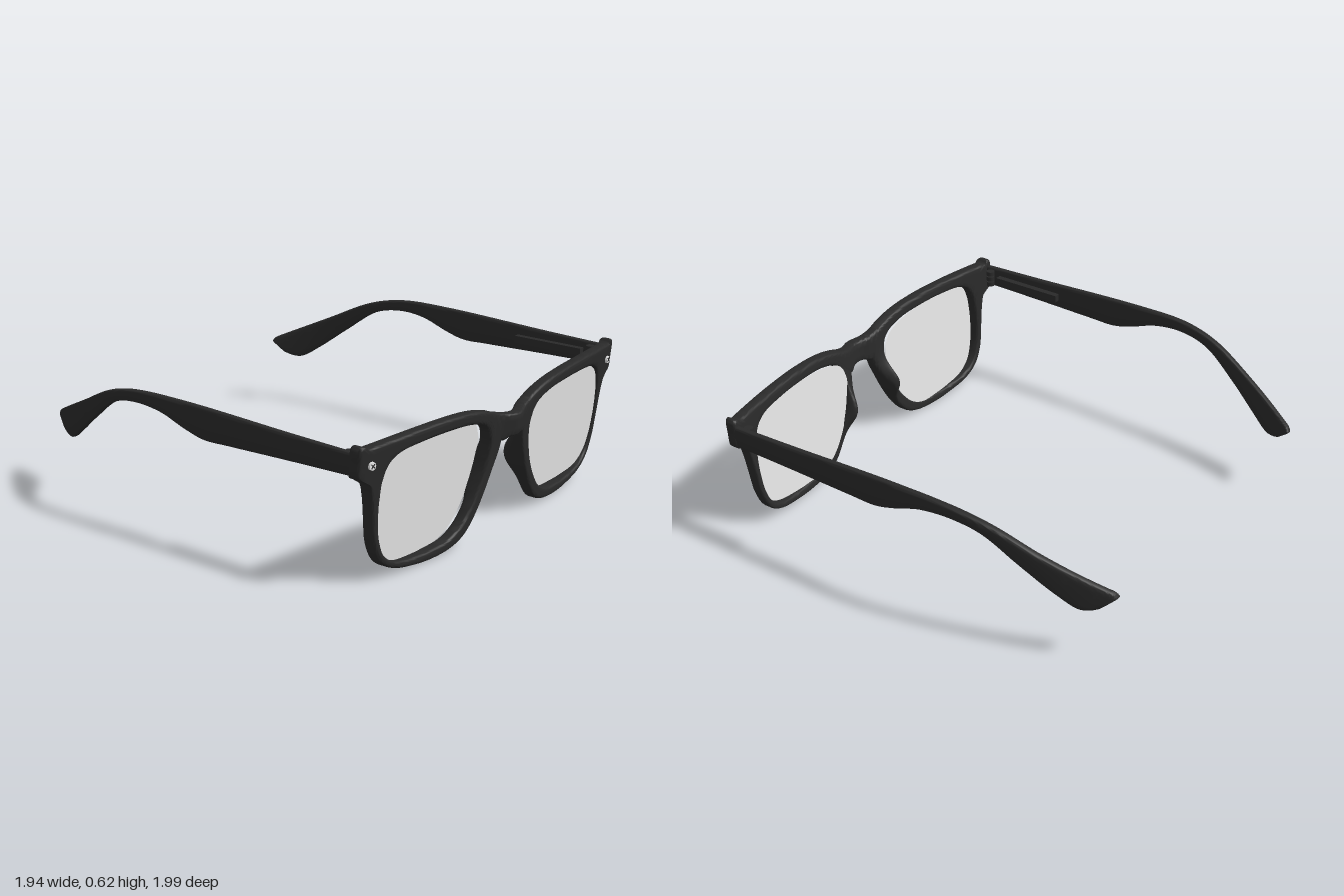
import * as THREE from 'three';
import { toCreasedNormals } from 'three/addons/utils/BufferGeometryUtils.js';
import { ParametricGeometry } from 'three/addons/geometries/ParametricGeometry.js';

const frameMat = new THREE.MeshStandardMaterial({ name: 'black acetate', color: 0x2a2a2a });
const lensMat = new THREE.MeshStandardMaterial({ name: 'clear grey lens', color: 0xeaeaea, side: THREE.DoubleSide });
const rivetMat = new THREE.MeshStandardMaterial({ name: 'silver rivet', color: 0xeeeeee });

const THICK = 0.058;

// Rim stations, clockwise from the nose: outer x, y and inner x, y
const RIM = [
  [0.09, 0.52, 0.168, 0.475], [0.13, 0.557, 0.18, 0.497], [0.2, 0.583, 0.21, 0.522], [0.3, 0.603, 0.3, 0.549],
  [0.45, 0.614, 0.45, 0.56], [0.62, 0.615, 0.62, 0.558], [0.76, 0.612, 0.74, 0.545], [0.88, 0.607, 0.79, 0.52],
  [0.93, 0.607, 0.805, 0.503], [0.945, 0.621, 0.812, 0.492], [0.963, 0.617, 0.818, 0.48], [0.967, 0.55, 0.824, 0.46],
  [0.963, 0.49, 0.83, 0.44], [0.94, 0.477, 0.834, 0.41], [0.905, 0.455, 0.836, 0.385], [0.885, 0.39, 0.838, 0.35],
  [0.87, 0.3, 0.834, 0.27], [0.85, 0.18, 0.818, 0.185], [0.8, 0.085, 0.785, 0.115], [0.72, 0.037, 0.72, 0.068],
  [0.6, 0.012, 0.6, 0.049], [0.48, 0.004, 0.5, 0.047], [0.36, 0.015, 0.38, 0.06], [0.28, 0.047, 0.305, 0.1],
  [0.22, 0.11, 0.25, 0.16], [0.16, 0.21, 0.2, 0.245], [0.12, 0.3, 0.175, 0.31], [0.09, 0.38, 0.158, 0.38],
  [0.08, 0.44, 0.155, 0.43],
];
// Bridge stations from the middle outwards: x, top y, bottom y
const BRIDGE = [
  [0, 0.535, 0.432], [0.04, 0.537, 0.431], [0.07, 0.542, 0.42], [0.1, 0.55, 0.43],
  [0.13, 0.559, 0.46], [0.16, 0.57, 0.5], [0.2, 0.583, 0.535],
];
// Temple stations: top z, y and bottom z, y
const ARM = [
  [0.84, 0.59, 0.84, 0.495], [0.5, 0.6, 0.5, 0.487], [0.2, 0.612, 0.2, 0.478], [0.05, 0.617, 0.07, 0.476],
  [-0.1, 0.619, -0.03, 0.5], [-0.25, 0.617, -0.17, 0.548], [-0.38, 0.603, -0.32, 0.56], [-0.52, 0.565, -0.46, 0.53],
  [-0.7, 0.48, -0.62, 0.42], [-0.85, 0.41, -0.77, 0.307], [-0.95, 0.363, -0.855, 0.253], [-0.985, 0.345, -0.9, 0.254],
  [-1.0, 0.325, -0.94, 0.27],
];

const curve = (pts, closed) => new THREE.CatmullRomCurve3(pts.map(([x, y]) => new THREE.Vector3(x, y, 0)), closed);

// Front surface of the face: wrapped sideways, tilted, and pushed out at the bridge
function frontZ(x, y) {
  return 0.968 - 0.08 * (x / 0.95) ** 2 - 0.085 * (0.6 - y) + 0.032 * Math.exp(-((x / 0.07) ** 2));
}

// Skin over rows of section points, each row a closed loop
function skin(rows, { closed = false, capped = false, flip = false }) {
  const n = rows.length, sides = rows[0].length, pos = rows.flat(2), idx = [];
  const tri = (a, b, c) => (flip ? idx.push(a, c, b) : idx.push(a, b, c));
  for (let i = 0; i < (closed ? n : n - 1); i++) {
    const r = i * sides, q = ((i + 1) % n) * sides;
    for (let j = 0; j < sides; j++) {
      const k = (j + 1) % sides;
      tri(r + j, r + k, q + j);
      tri(r + k, q + k, q + j);
    }
  }
  for (const i of capped ? [0, n - 1] : []) {
    const c = pos.length / 3;
    for (let d = 0; d < 3; d++) pos.push(rows[i].reduce((sum, p) => sum + p[d], 0) / sides);
    for (let j = 0; j < sides; j++) {
      const a = i * sides + j, b = i * sides + ((j + 1) % sides);
      if (i) tri(c, a, b); else tri(c, b, a);
    }
  }
  const geo = new THREE.BufferGeometry();
  geo.setAttribute('position', new THREE.Float32BufferAttribute(pos, 3));
  geo.setIndex(idx);
  return new THREE.Mesh(toCreasedNormals(geo, 0.8), frameMat);
}

// Rounded bar section from outer point o to inner point i, following the face surface
function section(o, i, s) {
  const w = o.distanceTo(i), r = Math.min(0.014, w * 0.4), flat = [], steps = 4;
  const arc = (d, q, start) => {
    for (let k = 0; k <= steps; k++) {
      const a = start + (k / steps) * Math.PI / 2;
      flat.push([d - r * Math.cos(a), q - r * Math.sin(a)]);
    }
  };
  const span = (d0, d1, q) => { for (const t of [0.25, 0.5, 0.75]) flat.push([d0 + (d1 - d0) * t, q]); };
  arc(r, r, 0);
  span(r, w - r, 0);
  arc(w - r, r, Math.PI / 2);
  arc(w - r, THICK - r, Math.PI);
  span(w - r, r, THICK);
  arc(r, THICK - r, Math.PI * 1.5);
  return flat.map(([d, depth]) => {
    const p = o.clone().lerp(i, d / w);
    // Nose pads: the back of the rim swells rearward beside the nose
    const pad = 0.065 * Math.exp(-(((p.x - 0.165) / 0.05) ** 2) - ((p.y - 0.29) / 0.1) ** 2);
    return [s * p.x, p.y, frontZ(p.x, p.y) - depth - pad * (depth / THICK) ** 2];
  });
}

function makeRim(s) {
  const outer = curve(RIM.map((p) => [p[0], p[1]]), true), inner = curve(RIM.map((p) => [p[2], p[3]]), true);
  const n = RIM.length * 6, rows = [];
  for (let i = 0; i < n; i++) rows.push(section(outer.getPoint(i / n), inner.getPoint(i / n), s));
  return skin(rows, { closed: true, flip: s < 0 });
}

function makeBridge() {
  const all = [...BRIDGE.slice(1).reverse().map(([x, t, b]) => [-x, t, b]), ...BRIDGE];
  const top = curve(all.map((p) => [p[0], p[1]])), bottom = curve(all.map((p) => [p[0], p[2]]));
  const rows = [];
  for (let i = 0; i <= 60; i++) rows.push(section(top.getPoint(i / 60), bottom.getPoint(i / 60), 1));
  return skin(rows, { capped: true });
}

// Flat lens, tilted with the frame and tucked into the rim
function makeLens(s) {
  const edge = curve(RIM.map((p) => [p[2], p[3]]), true);
  const cx = 0.5, cy = 0.31;
  const geo = new ParametricGeometry((u, v, t) => {
    const q = edge.getPoint(u % 1);
    const x = cx + (q.x - cx) * v * 1.02, y = cy + (q.y - cy) * v * 1.02;
    t.set(s * x, y, frontZ(cx, y) - 0.05);
  }, 116, 2);
  geo.computeVertexNormals();
  return new THREE.Mesh(geo, lensMat);
}

function makeArm(s) {
  const rail = (k) => curve(ARM.map((a) => [a[k], a[k + 1]]));
  const top = rail(0), bottom = rail(2), n = 72, sides = 24, rows = [];
  const round = (v) => Math.sign(v) * Math.abs(v) ** 0.4;
  for (let i = 0; i <= n; i++) {
    const a = top.getPoint(i / n), b = bottom.getPoint(i / n);
    const mid = a.clone().lerp(b, 0.5), half = a.clone().sub(mid);
    const width = i === n ? 0.012 : 0.016 + 0.004 * (i / n);
    rows.push(Array.from({ length: sides }, (_, j) => {
      const ang = (-j / sides) * Math.PI * 2, h = round(Math.sin(ang));
      const z = mid.x + half.x * h;
      const bend = 0.195 * (Math.max(0, -z - 0.2) / 0.8) ** 2; // ends curl inward behind the ear
      return [s * (0.95 + width * round(Math.cos(ang)) - bend), mid.y + half.y * h, z];
    }));
  }
  // Sections run clockwise seen from the front, so the skin faces outward going back
  return skin(rows.map((row) => [...row].reverse()), { capped: true, flip: s > 0 });
}

function box(w, h, d, x, y, z) {
  const m = new THREE.Mesh(new THREE.BoxGeometry(w, h, d), frameMat);
  m.position.set(x, y, z);
  return m;
}

// Hinge plate along the inside of the temple, and its knuckle
function makeHinge(s) {
  const g = new THREE.Group();
  g.add(box(0.03, 0.035, 0.36, s * 0.919, 0.543, 0.57));
  for (const y of [0.515, 0.543, 0.571]) {
    const k = new THREE.Mesh(new THREE.CylinderGeometry(0.02, 0.02, 0.022, 16), frameMat);
    k.position.set(s * 0.917, y, 0.795);
    g.add(k);
  }
  return g;
}

// Round rivet with a dark cross on its face
function makeRivet(s) {
  const g = new THREE.Group();
  const disc = new THREE.Mesh(new THREE.CylinderGeometry(0.017, 0.017, 0.02, 20), rivetMat);
  disc.rotation.x = Math.PI / 2;
  g.add(disc);
  for (const a of [1, -1]) {
    const bar = box(0.024, 0.004, 0.003, 0, 0, 0.0105);
    bar.rotation.z = a * Math.PI / 4;
    g.add(bar);
  }
  g.position.set(s * 0.905, 0.535, frontZ(0.905, 0.535));
  g.rotation.y = s * 0.16;
  return g;
}

export function createModel() {
  const model = new THREE.Group();
  model.name = 'eyeglasses';
  const put = (name, part) => { part.name = name; model.add(part); };
  put('bridge', makeBridge());
  for (const [side, s] of [['left', 1], ['right', -1]]) {
    put(side + 'Rim', makeRim(s));
    put(side + 'Lens', makeLens(s));
    put(side + 'Temple', makeArm(s));
    put(side + 'Hinge', makeHinge(s));
    put(side + 'Rivet', makeRivet(s));
  }
  return model;
}
